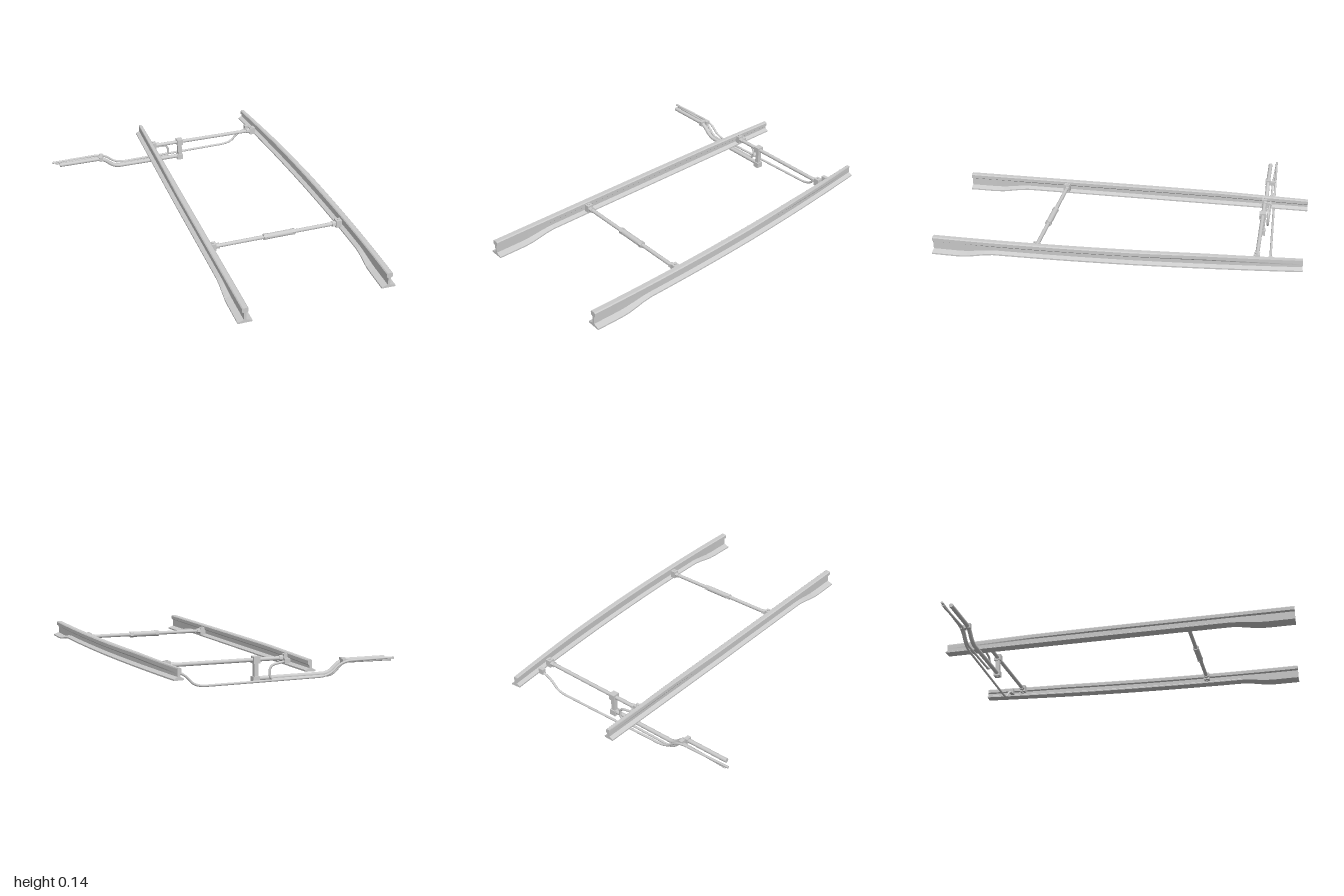
import * as THREE from 'three';

const flat = new THREE.MeshStandardMaterial({ color: 0xcccccc, flatShading: true });
const smooth = new THREE.MeshStandardMaterial({ color: 0xcccccc });
const V = (x, y, z) => new THREE.Vector3(x, y, z);
const lerp = THREE.MathUtils.lerp;

// Rail section as [sideways, height]; side o is the planed side of the blade
function railSection(t, o) {
  const end = THREE.MathUtils.smoothstep(t, 0.82, 0.92);
  const plane = THREE.MathUtils.clamp(1 - t / 0.45, 0, 1);
  const b = lerp(0.08, 0.06, end);
  const top = 0.144 - 0.008 * THREE.MathUtils.clamp(1 - t / 0.25, 0, 1);
  const half = (s) => {
    const planed = s === o ? plane : 0;
    const f = lerp(0.028 - 0.005 * planed, 0.036, end);
    const h = lerp(0.016, 0.004, planed);
    const w = lerp(lerp(0.009, 0.004, planed), 0.006, end);
    return [[f, b], [f, b + 0.007], [w, b + 0.017], [w, top - 0.028],
      [h, top - 0.022], [h, top - 0.005], [h * 0.7, top]];
  };
  const right = half(1);
  const left = half(-1).map(([u, y]) => [-u, y]).reverse();
  return [...right, ...left];
}

// Rail lofted along a plan curve, with both ends closed
function rail(name, curve, o) {
  const steps = 40, pos = [], idx = [];
  let n = 0;
  for (let j = 0; j <= steps; j++) {
    const t = j / steps, p = curve.getPoint(t), d = curve.getTangent(t);
    const section = railSection(t, o);
    n = section.length;
    for (const [u, y] of section) pos.push(p.x + d.z * u, y, p.z - d.x * u);
  }
  for (let j = 0; j < steps; j++) {
    for (let i = 0; i < n; i++) {
      const a = j * n + i, b = j * n + (i + 1) % n;
      idx.push(a, b, b + n, a, b + n, a + n);
    }
  }
  for (const j of [0, steps]) {
    const pts = railSection(j / steps, o).map(([u, y]) => new THREE.Vector2(u, y));
    for (const [a, b, c] of THREE.ShapeUtils.triangulateShape(pts, [])) {
      const k = j * n;
      if (j) idx.push(k + a, k + b, k + c);
      else idx.push(a, c, b);
    }
  }
  let geo = new THREE.BufferGeometry();
  geo.setAttribute('position', new THREE.Float32BufferAttribute(pos, 3));
  geo.setIndex(idx);
  geo = geo.toNonIndexed();
  geo.computeVertexNormals();
  const mesh = new THREE.Mesh(geo, flat);
  mesh.name = name;
  return mesh;
}

// Round bar between two points
function bar(name, a, b, r, sides = 16) {
  const mesh = new THREE.Mesh(new THREE.CylinderGeometry(r, r, a.distanceTo(b), sides),
    sides < 9 ? flat : smooth);
  mesh.position.copy(a).lerp(b, 0.5);
  mesh.quaternion.setFromUnitVectors(V(0, 1, 0), b.clone().sub(a).normalize());
  mesh.name = name;
  return mesh;
}

// Block turned in line with the rods
const rodYaw = Math.atan2(0.376, 1);
function block(name, p, w, h, d) {
  const mesh = new THREE.Mesh(new THREE.BoxGeometry(w, h, d), flat);
  mesh.position.copy(p);
  mesh.rotation.y = rodYaw;
  mesh.name = name;
  return mesh;
}

// Bent rod through points, with rounded corners and capped ends
function bentRod(name, pts, r, bend) {
  const path = new THREE.CurvePath();
  let from = pts[0];
  for (let i = 1; i < pts.length - 1; i++) {
    const toward = (q) => {
      const v = q.clone().sub(pts[i]);
      return pts[i].clone().addScaledVector(v.clone().normalize(), Math.min(bend, v.length() * 0.48));
    };
    const a = toward(pts[i - 1]), b = toward(pts[i + 1]);
    path.add(new THREE.LineCurve3(from, a));
    path.add(new THREE.QuadraticBezierCurve3(a, pts[i], b));
    from = b;
  }
  const last = pts[pts.length - 1];
  path.add(new THREE.LineCurve3(from, last));
  const group = new THREE.Group();
  group.name = name;
  group.add(new THREE.Mesh(new THREE.TubeGeometry(path, 140, r, 12), smooth));
  const capEnd = (p, q) => group.add(
    bar('rodEnd', p, p.clone().add(p.clone().sub(q).setLength(0.002)), r, 12));
  capEnd(pts[0], pts[1]);
  capEnd(last, pts[pts.length - 2]);
  return group;
}

// Spacer rod with end brackets and an optional middle sleeve
function spacerRod(name, a, b, sleeve) {
  const group = new THREE.Group();
  group.name = name;
  group.add(bar('rod', a, b, 0.01));
  for (const [p, q] of [[a, b], [b, a]]) {
    const dir = q.clone().sub(p).normalize();
    group.add(block('endBracket', p, 0.03, 0.04, 0.03));
    group.add(bar('endNut', p.clone().addScaledVector(dir, 0.012),
      p.clone().addScaledVector(dir, 0.034), 0.015, 6));
    group.add(bar('bracketPin', p.clone().setY(p.y - 0.025), p.clone().setY(p.y + 0.025), 0.006));
  }
  if (sleeve) {
    const at = (t) => a.clone().lerp(b, t);
    group.add(bar('sleeve', at(sleeve[0]), at(sleeve[1]), 0.015));
    for (const t of sleeve) group.add(bar('lockNut', at(t - 0.015), at(t + 0.015), 0.017, 6));
  }
  return group;
}

export function createModel() {
  const model = new THREE.Group();

  // Two blade rails, one straight and one gently curved
  model.add(rail('rightRail', new THREE.LineCurve3(V(-0.455, 0, -0.765), V(0.197, 0, 0.985)), -1));
  model.add(rail('leftRail', new THREE.QuadraticBezierCurve3(
    V(0.16, 0, -0.99), V(0.585, 0, -0.15), V(0.88, 0, 0.69)), 1));

  // Rods holding the rails apart
  model.add(spacerRod('frontSpacerRod', V(0.03, 0.113, 0.458), V(0.665, 0.113, 0.217), [0.41, 0.63]));
  const zDrive = (x) => -0.365 - 0.376 * (x + 0.87);
  const onDrive = (x, y) => V(x, y, zDrive(x));
  model.add(spacerRod('backSpacerRod', onDrive(-0.355, 0.113), onDrive(0.215, 0.113)));

  // Drive rod passing beneath the straight rail, with its upright link
  model.add(bentRod('driveRod', [onDrive(-0.87, 0.083), onDrive(-0.64, 0.083),
    onDrive(-0.575, 0.021), onDrive(-0.2, 0.021)], 0.011, 0.035));
  const link = new THREE.Group();
  link.name = 'driveLink';
  link.add(block('linkPost', onDrive(-0.207, 0.067), 0.022, 0.11, 0.022));
  link.add(block('linkFoot', onDrive(-0.207, 0.017), 0.034, 0.03, 0.034));
  link.add(block('linkCollar', onDrive(-0.207, 0.113), 0.034, 0.034, 0.036));
  link.add(bar('linkBolt', onDrive(-0.207, 0), onDrive(-0.207, 0.036), 0.009, 6));
  model.add(link);

  // Thin detector rods, long one to the curved rail, short one to the straight rail
  const onLong = (x, y) => V(x, y, -0.385 - 0.406 * (x + 0.915));
  model.add(bentRod('longDetectorRod', [onLong(-0.915, 0.085), onLong(-0.64, 0.085),
    onLong(-0.575, 0.016), onLong(0.085, 0.016), onLong(0.13, 0.075), onLong(0.185, 0.095)], 0.006, 0.06));
  const onShort = (x, y) => V(x, y, -0.477 - 0.37 * (x + 0.65));
  model.add(bentRod('shortDetectorRod', [onLong(-0.9, 0.077), onShort(-0.65, 0.079),
    onShort(-0.59, 0.016), onShort(-0.275, 0.016), onShort(-0.275, 0.085), onShort(-0.35, 0.1)], 0.006, 0.03));
  model.add(block('longRodBracket', onLong(0.185, 0.1), 0.03, 0.03, 0.02));
  model.add(block('shortRodBracket', onShort(-0.36, 0.102), 0.03, 0.026, 0.02));

  // Clamps where the rods bend down
  model.add(block('driveRodClamp', onDrive(-0.65, 0.083), 0.02, 0.026, 0.03));
  model.add(block('detectorRodClamp', onShort(-0.65, 0.082), 0.02, 0.022, 0.026));

  return model;
}
